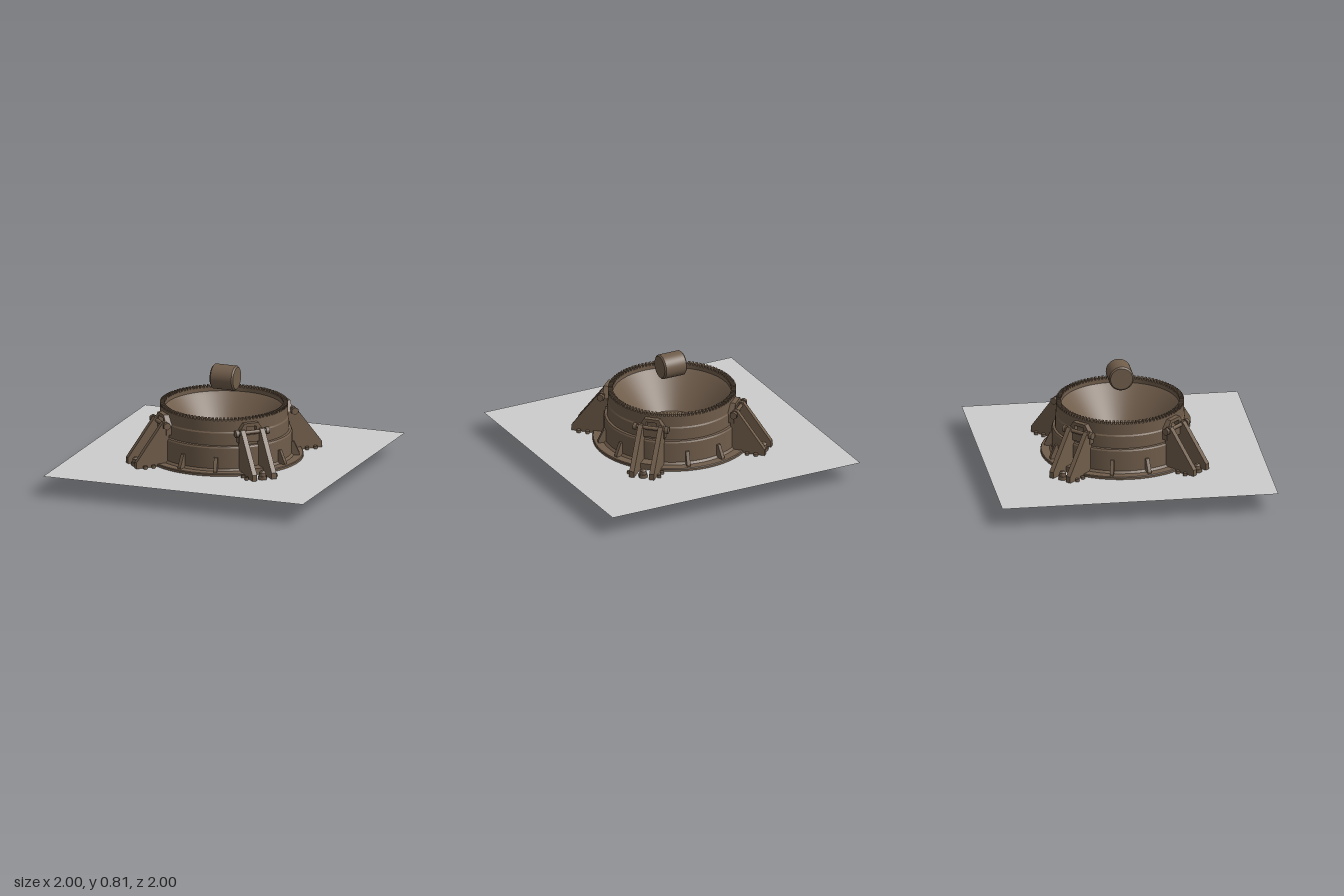
import * as THREE from 'three';
import { toCreasedNormals } from 'three/addons/utils/BufferGeometryUtils.js';

export function createModel() {
  const model = new THREE.Group();
  const bronze = new THREE.MeshStandardMaterial({ color: 0x705d4b });
  bronze.name = 'bronze brown';
  const grey = new THREE.MeshStandardMaterial({ color: 0xcccccc, side: THREE.DoubleSide });
  grey.name = 'ground grey';

  const add = (parent, name, geo, x = 0, y = 0, z = 0, mat = bronze) => {
    const m = new THREE.Mesh(geo, mat);
    m.name = name;
    m.position.set(x, y, z);
    parent.add(m);
    return m;
  };
  const lathe = (pts, seg) => toCreasedNormals(
    new THREE.LatheGeometry(pts.map(p => new THREE.Vector2(...p)), seg), 0.5);
  const polygon = pts => new THREE.Shape(pts.map(p => new THREE.Vector2(...p)));
  const slab = (shape, depth) => new THREE.ExtrudeGeometry(shape, { depth, bevelEnabled: false })
    .translate(0, 0, -depth / 2);
  const cyl = (r, h, n) => new THREE.CylinderGeometry(r, r, h, n);

  // Ground sheet, at flange height
  add(model, 'groundSheet', new THREE.PlaneGeometry(2, 2).rotateX(-Math.PI / 2), 0, 0.145, 0, grey);

  // Sunken base, flange, stepped barrel and conical bowl in one turned profile
  add(model, 'barrel', lathe([
    [0, 0], [0.503, 0], [0.503, 0.123], [0.57, 0.123], [0.57, 0.16], [0.565, 0.165],
    [0.505, 0.165], [0.49, 0.18], [0.49, 0.33], [0.483, 0.342], [0.466, 0.345],
    [0.466, 0.435], [0.46, 0.445], [0.46, 0.528], [0.425, 0.528], [0.425, 0.5],
    [0.405, 0.48], [0.225, 0.25], [0, 0.25],
  ], 96));

  // Toothed rim
  const toothGeo = new THREE.BoxGeometry(0.035, 0.016, 0.015);
  for (let i = 0; i < 100; i++) {
    const a = i / 100 * Math.PI * 2;
    add(model, 'rimTooth', toothGeo, Math.cos(a) * 0.4425, 0.535, Math.sin(a) * 0.4425).rotation.y = -a;
  }

  // Gusset ribs standing on the flange
  const ribGeo = slab(polygon([[0.48, 0.16], [0.545, 0.16], [0.545, 0.18], [0.505, 0.265], [0.48, 0.265]]), 0.026);
  for (let q = 0; q < 4; q++) for (const s of [-1, 1])
    add(model, 'flangeRib', ribGeo).rotation.y = q * Math.PI / 2 + s * Math.PI * 14.7 / 180;

  // Clamp brackets: local x points outward, z runs along the rim
  const finGeo = slab(polygon([[0.47, 0.165], [0.56, 0.165], [0.575, 0.125], [0.725, 0.125],
    [0.725, 0.19], [0.53, 0.45], [0.515, 0.468], [0.485, 0.468], [0.47, 0.45]]), 0.036);
  const lugShape = polygon([[-0.1, 0.37], [0.1, 0.37], [0.1, 0.44], [0.055, 0.51], [-0.055, 0.51], [-0.1, 0.44]]);
  lugShape.holes.push(new THREE.Path([[-0.04, 0.425], [-0.04, 0.485], [0.04, 0.485], [0.04, 0.425]]
    .map(p => new THREE.Vector2(...p))));
  const lugGeo = slab(lugShape, 0.05).rotateY(Math.PI / 2);
  for (let q = 0; q < 4; q++) {
    const b = new THREE.Group();
    b.name = 'clampBracket';
    b.rotation.y = Math.PI / 4 + q * Math.PI / 2;
    model.add(b);
    add(b, 'basePlate', new THREE.BoxGeometry(0.14, 0.018, 0.29), 0.635, 0.132, 0);
    add(b, 'latchLug', lugGeo, 0.47, 0, 0);
    add(b, 'hingeRod', cyl(0.014, 0.26, 16).rotateX(Math.PI / 2), 0.5, 0.445, 0);
    add(b, 'crossPad', new THREE.BoxGeometry(0.08, 0.03, 0.12), 0.53, 0.175, 0);
    for (const s of [-1, 1]) {
      add(b, 'sideFin', finGeo, 0, 0, s * 0.075);
      add(b, 'rodNut', cyl(0.028, 0.025, 6).rotateX(Math.PI / 2), 0.5, 0.445, s * 0.118);
      for (const r of [0.6, 0.665])
        add(b, 'plateBolt', cyl(0.015, 0.038, 12), r, 0.146, s * 0.113);
    }
    // Anchor bolt with a hex collar and rounded head
    add(b, 'anchorCollar', cyl(0.034, 0.07, 6), 0.69, 0.135, 0);
    add(b, 'anchorBolt', lathe([[0, 0.1], [0.024, 0.1], [0.024, 0.195], [0.015, 0.207], [0, 0.21]], 20), 0.69, 0, 0);
  }

  // Floating drum on its side, with bevelled ends
  add(model, 'floatingDrum', lathe([[0, -0.09], [0.08, -0.09], [0.09, -0.08], [0.09, 0.08],
    [0.08, 0.09], [0, 0.09]], 48).rotateZ(Math.PI / 2), 0.01, 0.725, 0);

  return model;
}
